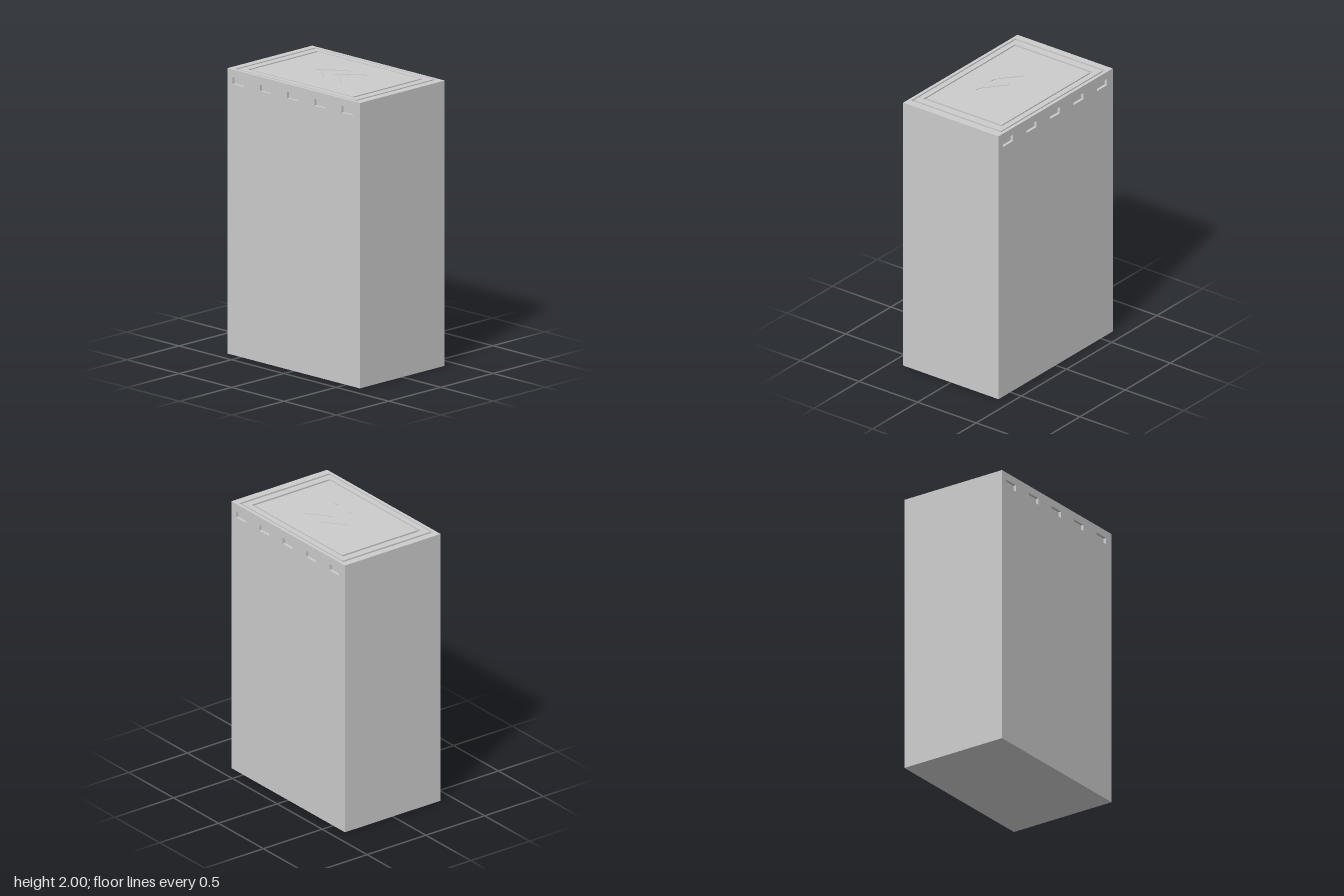
import * as THREE from 'three';

const W = 0.814, H = 2, D = 1.264; // overall size
const GROOVE = 0.012;              // depth of the top grooves
const ENGRAVE = 0.004;             // depth of the arrow marks
const SLOT = 0.02;                 // depth of the side slots
const LID_Y = 0.003;               // slight shift of the lid pattern to the back

const material = new THREE.MeshStandardMaterial({ color: 0xcccccc, flatShading: true });

function mesh(name, geometry) {
  const m = new THREE.Mesh(geometry, material);
  m.name = name;
  return m;
}

// Closed outline of a rectangle centred on (x, y)
function rect(w, h, x = 0, y = 0, Type = THREE.Shape) {
  return new Type([[-1, -1], [1, -1], [1, 1], [-1, 1]].map(
    ([a, b]) => new THREE.Vector2(x + a * w / 2, y + b * h / 2)));
}

// Flat plate lying on height y, optionally with holes
function lidPlate(name, shape, holes, depth, y) {
  shape.holes.push(...holes);
  const g = new THREE.ExtrudeGeometry(shape, { depth, bevelEnabled: false });
  g.rotateX(-Math.PI / 2).translate(0, y, 0);
  return mesh(name, g);
}

// Arrow mark with its tip at the given height on the lid
function chevron(tip) {
  return new THREE.Path([[0, 0], [-0.132, -0.168], [-0.132, -0.211], [0, -0.045],
    [0.132, -0.211], [0.132, -0.168]].map(([x, y]) => new THREE.Vector2(x, tip + y)));
}

// Side wall with a row of five slots below the top edge
function sideWall(name, angle) {
  const shape = rect(D, H - GROOVE, 0, (H - GROOVE) / 2);
  for (let i = 0; i < 5; i++) {
    shape.holes.push(rect(0.108, 0.047, -0.527 + 0.26 * i, 1.923, THREE.Path));
  }
  const g = new THREE.ExtrudeGeometry(shape, { depth: SLOT, bevelEnabled: false });
  g.translate(0, 0, W / 2 - SLOT).rotateY(angle);
  return mesh(name, g);
}

export function createModel() {
  const group = new THREE.Group();
  group.name = 'slottedCase';

  // Body: its sides form the slot floors, its top the groove floors
  const body = new THREE.BoxGeometry(W - 2 * SLOT, H - GROOVE, D);
  group.add(mesh('body', body.translate(0, (H - GROOVE) / 2, 0)));
  group.add(sideWall('leftWall', Math.PI / 2), sideWall('rightWall', -Math.PI / 2));

  // Lid: rim, frame and panel separated by two grooves
  const lidBase = H - GROOVE;
  const opening = (w, h) => rect(w, h, 0, LID_Y, THREE.Path);
  group.add(lidPlate('lidRim', rect(W, D), [opening(0.766, 1.156)], GROOVE, lidBase));
  group.add(lidPlate('lidFrame', rect(0.746, 1.122, 0, LID_Y),
    [opening(0.664, 1.014)], GROOVE, lidBase));
  group.add(lidPlate('panelBase', rect(0.643, 0.977, 0, LID_Y), [], GROOVE - ENGRAVE, lidBase));

  // Panel top with two engraved arrow marks
  group.add(lidPlate('arrowPanel', rect(0.643, 0.977, 0, LID_Y),
    [chevron(0.187), chevron(0.02)], ENGRAVE, H - ENGRAVE));

  return group;
}
